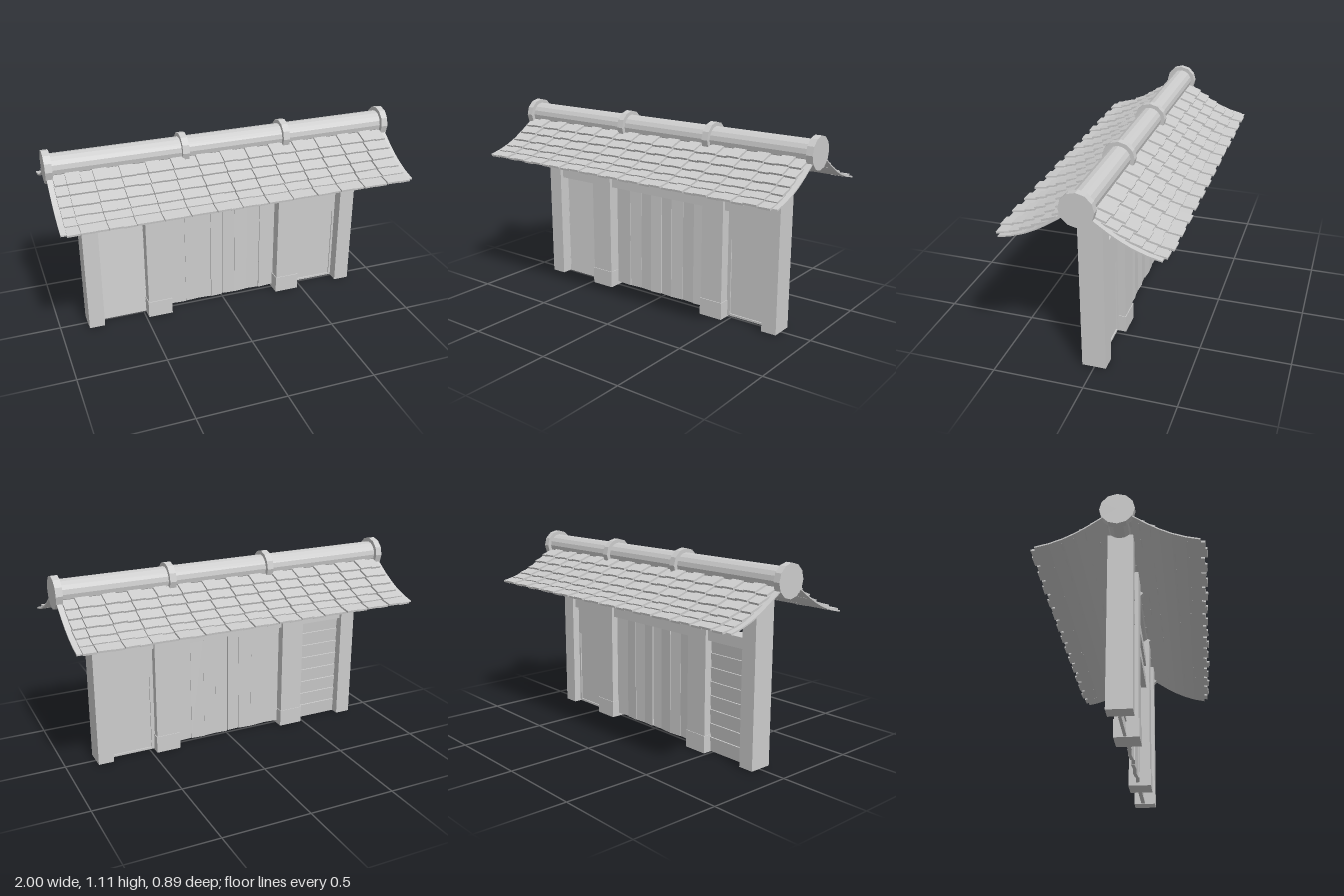
import * as THREE from 'three';

const stone = new THREE.MeshStandardMaterial({ color: 0xcccccc });
stone.name = 'plain grey';
stone.flatShading = true;
const smoothGrey = stone;

// small seeded generator, -1..1
let seed = 7;
const jitter = () => {
  seed = (seed * 16807) % 2147483647;
  return (seed / 2147483647) * 2 - 1;
};

function addBox(parent, name, x0, x1, y0, y1, z0, z1) {
  const mesh = new THREE.Mesh(new THREE.BoxGeometry(x1 - x0, y1 - y0, z1 - z0), stone);
  mesh.position.set((x0 + x1) / 2, (y0 + y1) / 2, (z0 + z1) / 2);
  mesh.name = name;
  parent.add(mesh);
  return mesh;
}

function addGroup(parent, name) {
  const g = new THREE.Group();
  g.name = name;
  parent.add(g);
  return g;
}

// cylinder lying along x
function addRoller(parent, name, x0, x1, radius, sides) {
  const geo = new THREE.CylinderGeometry(radius, radius, x1 - x0, sides);
  geo.rotateZ(Math.PI / 2);
  const mesh = new THREE.Mesh(geo, smoothGrey);
  mesh.position.set((x0 + x1) / 2, 1.022, 0);
  mesh.name = name;
  parent.add(mesh);
}

// roof section: distance from the ridge and height
const roofLine = [[0.05, 0.99], [0.09, 0.962], [0.15, 0.921], [0.21, 0.885], [0.27, 0.856], [0.34, 0.831], [0.41, 0.815]];

function roofSlope(name) {
  const slope = new THREE.Group();
  slope.name = name;

  // curved board under the tiles
  const shape = new THREE.Shape();
  roofLine.forEach(([z, y], i) => (i ? shape.lineTo(-z, y) : shape.moveTo(-z, y)));
  [...roofLine].reverse().forEach(([z, y]) => shape.lineTo(-z, y + 0.008));
  const geo = new THREE.ExtrudeGeometry(shape, { depth: 1.99, bevelEnabled: false });
  geo.rotateY(Math.PI / 2);
  geo.translate(-0.995, 0, 0);
  const board = new THREE.Mesh(geo, stone);
  board.name = 'roofBoard';
  slope.add(board);

  // overlapping tiles: lower edge (z, y) and upper edge (z, y) of each row
  const rows = [
    [0.437, 0.826, 0.352, 0.838],
    [0.368, 0.842, 0.285, 0.862],
    [0.312, 0.865, 0.23, 0.889],
    [0.253, 0.894, 0.17, 0.922],
    [0.196, 0.93, 0.115, 0.959],
    [0.14, 0.965, 0.06, 0.993],
  ];
  const columns = 27, pitch = 1.935 / columns;
  rows.forEach(([z0, y0, z1, y1]) => {
    const length = Math.hypot(z0 - z1, y1 - y0);
    const tilt = Math.atan2(y1 - y0, z0 - z1);
    for (let c = 0; c < columns; c++) {
      const odd = c % 2 ? 1 : -1;
      const tile = new THREE.Mesh(new THREE.BoxGeometry(pitch * (1 + odd * 0.06), 0.011, length), stone);
      tile.position.set(
        -0.967 + (c + 0.5) * pitch + jitter() * 0.002,
        (y0 + y1) / 2 + odd * 0.0035,
        -(z0 + z1) / 2 - odd * 0.006 + jitter() * 0.003
      );
      tile.rotation.set(-tilt, jitter() * 0.025, jitter() * 0.02);
      tile.name = 'roofTile';
      slope.add(tile);
    }
  });
  return slope;
}

export function createModel() {
  const gate = new THREE.Group();
  gate.name = 'roofedGate';

  // posts, the inner pair with thicker feet
  const posts = addGroup(gate, 'posts');
  addBox(posts, 'outerPost', -0.84, -0.75, 0.004, 0.975, -0.065, 0.067);
  addBox(posts, 'outerPost', 0.735, 0.825, 0.004, 0.975, -0.065, 0.067);
  for (const [x0, x1] of [[-0.481, -0.344], [0.332, 0.469]]) {
    addBox(posts, 'innerPost', x0, x1, 0.004, 0.975, -0.062, 0.064);
    addBox(posts, 'postFoot', x0 - 0.004, x1 + 0.004, 0, 0.1, -0.066, 0.069);
  }

  // cross beams
  addBox(gate, 'lintel', -0.76, 0.745, 0.64, 0.7, -0.045, 0.045);
  addBox(gate, 'upperBeam', -0.76, 0.745, 0.79, 0.85, -0.045, 0.045);

  // side wall of lapped horizontal boards
  const siding = addGroup(gate, 'boardedWall');
  for (let i = 0; i < 8; i++) {
    const board = addBox(siding, 'wallBoard', -0.755, -0.48, i * 0.08 + 0.003, i * 0.08 + 0.087, -0.017, -0.001);
    board.rotation.x = -0.09;
  }

  // two door leaves of uneven upright planks
  const doors = addGroup(gate, 'doubleDoor');
  const seams = [0.003, 0.075, 0.155, 0.235, 0.34];
  for (const side of [-1, 1]) {
    for (let i = 0; i < 4; i++) {
      const a = side * seams[i], b = side * seams[i + 1];
      const plank = addBox(doors, 'doorPlank', Math.min(a, b), Math.max(a, b), 0.02, 0.645, -0.018, 0.002);
      plank.rotation.y = side * (i % 2 ? 0.07 : -0.07);
      plank.rotation.x = jitter() * 0.006;
      plank.position.z += jitter() * 0.003;
    }
  }

  // wall with a small framed door
  const wicket = addGroup(gate, 'smallDoor');
  const [l, r, b, t] = [0.49, 0.722, 0.02, 0.465];
  addBox(wicket, 'wallAbove', 0.46, 0.74, t, 0.645, -0.02, 0.003);
  addBox(wicket, 'wallLeft', 0.46, l, 0.008, t, -0.02, 0.003);
  addBox(wicket, 'wallRight', r, 0.74, 0.008, t, -0.02, 0.003);
  addBox(wicket, 'sill', l, r, 0.008, b, -0.02, 0.003);
  addBox(wicket, 'doorPanel', l, r, b, t, -0.013, -0.004);

  // round ridge pole with end caps and bands
  const ridge = addGroup(gate, 'ridge');
  addRoller(ridge, 'ridgePole', -0.98, 0.98, 0.067, 16);
  for (const x of [-1, -0.257, 0.337, 0.962]) addRoller(ridge, 'ridgeBand', x, x + 0.038, 0.09, 12);

  // both roof slopes
  const back = roofSlope('backRoof');
  const front = roofSlope('frontRoof');
  front.rotation.y = Math.PI;
  gate.add(back, front);
  return gate;
}
